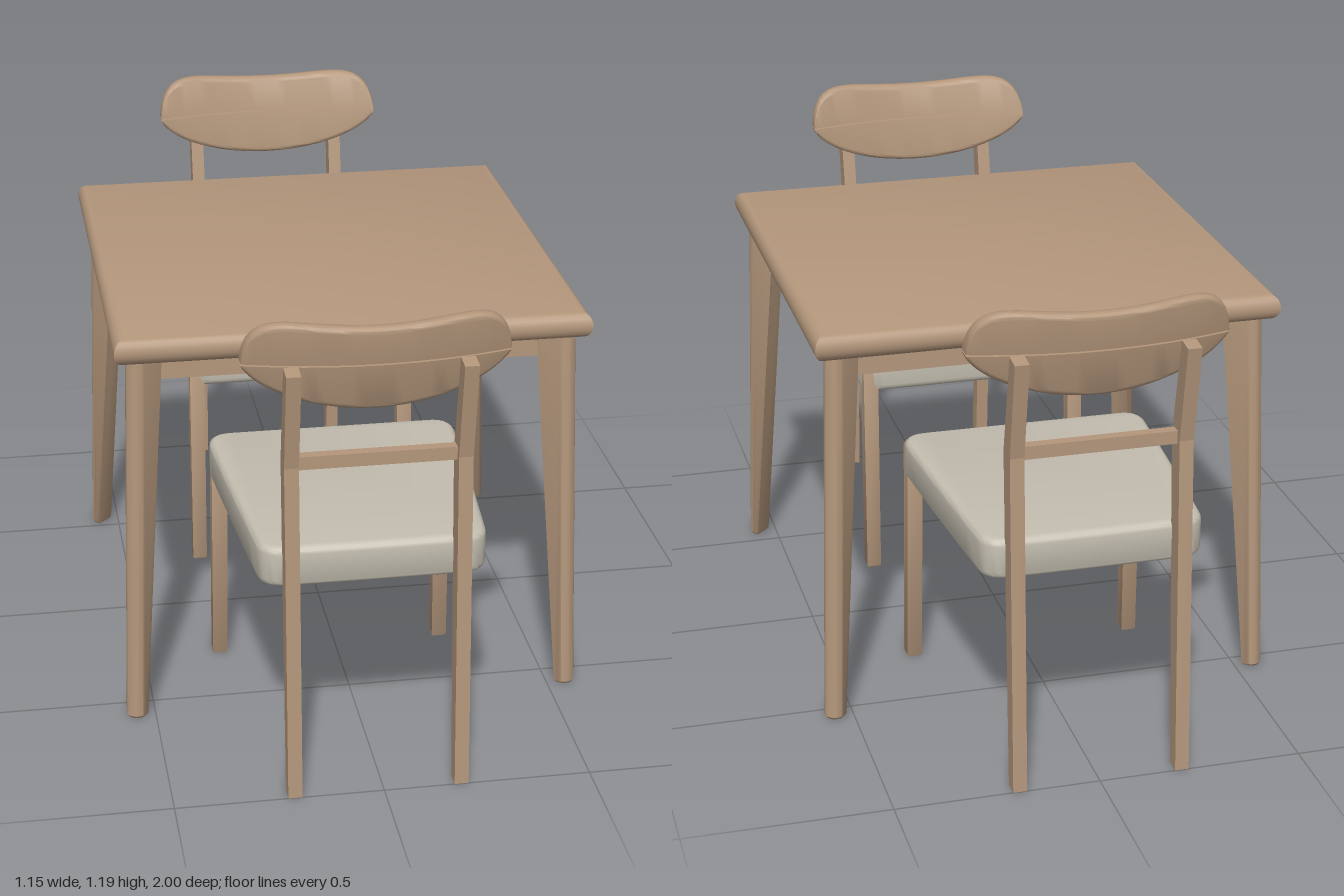
import * as THREE from 'three';
import { toCreasedNormals } from 'three/addons/utils/BufferGeometryUtils.js';

const wood = new THREE.MeshStandardMaterial({ color: 0xb4977c });
wood.name = 'wood';
const fabric = new THREE.MeshStandardMaterial({ color: 0xc4beb0 });
fabric.name = 'fabric';

function add(parent, name, geometry, material = wood) {
  const mesh = new THREE.Mesh(geometry, material);
  mesh.name = name;
  parent.add(mesh);
  return mesh;
}

// Skin through equal rings of [x, y, z] points, closed at both ends
function loft(rings) {
  const n = rings[0].length;
  const pos = rings.flat(2);
  const index = [];
  for (let r = 0; r < rings.length - 1; r++) {
    for (let i = 0; i < n; i++) {
      const a = r * n + i, a1 = r * n + (i + 1) % n;
      index.push(a, a1, a1 + n, a, a1 + n, a + n);
    }
  }
  const last = (rings.length - 1) * n;
  for (let i = 1; i < n - 1; i++) {
    index.push(0, i + 1, i, last, last + i, last + i + 1);
  }
  const geo = new THREE.BufferGeometry();
  geo.setAttribute('position', new THREE.Float32BufferAttribute(pos, 3));
  geo.setIndex(index);
  return toCreasedNormals(geo, 0.6);
}

function makeTable() {
  const table = new THREE.Group();
  table.name = 'table';

  // Square top with a bullnose edge
  const profile = [new THREE.Vector2(0, 0.95)];
  for (let i = 0; i <= 10; i++) {
    const a = -Math.PI / 2 + Math.PI * i / 10;
    profile.push(new THREE.Vector2(0.55 + 0.025 * Math.cos(a), 0.9825 + 0.0325 * Math.sin(a)));
  }
  profile.push(new THREE.Vector2(0, 1.015));
  const top = new THREE.LatheGeometry(profile, 4);
  top.rotateY(Math.PI / 4).scale(Math.SQRT2, 1, Math.SQRT2);
  add(table, 'tableTop', toCreasedNormals(top, 0.6));

  // Legs set on the diagonals: round outside, flat inside, tapering down
  const ring = (centre, inner, r, y) => {
    const pts = [];
    for (let i = 0; i <= 10; i++) {
      const a = -Math.PI / 2 + Math.PI * i / 10;
      pts.push([centre + r * Math.cos(a), y, -r * Math.sin(a)]);
    }
    pts.push([inner, y, -r], [inner, y, r]);
    return pts;
  };
  const legGeo = loft([
    ring(0.772, 0.764, 0.022, 0),
    ring(0.772, 0.760, 0.026, 0.006),
    ring(0.734, 0.669, 0.026, 0.955),
  ]);
  for (let k = 0; k < 4; k++) {
    add(table, 'tableLeg', legGeo).rotation.y = Math.PI / 4 + k * Math.PI / 2;
    // Apron between neighbouring legs
    const apron = new THREE.BoxGeometry(0.96, 0.075, 0.035);
    apron.translate(0, 0.917, 0.47);
    add(table, 'apron', apron).rotation.y = k * Math.PI / 2;
  }
  return table;
}

// One half of the curved backrest, above (s = 1) or below (s = -1) the seam
function backrestHalf(s) {
  const W = 0.307, t = 0.02, seam = 1.083 + s * 0.002;
  const rings = [];
  for (let k = 0; k <= 32; k++) {
    const u = Math.sin((k / 32 - 0.5) * Math.PI), x = W * u;
    const h = 0.0005 + (s > 0
      ? (0.09 + 0.4 * x * x) * Math.sqrt(Math.max(0, 1 - u ** 6))
      : 0.116 * Math.max(0, 1 - u * u) ** 0.65);
    const r = Math.min(0.014, h * 0.8);
    const section = [[-t, 0]];
    for (let i = 0; i <= 8; i++) {
      const a = Math.PI * (1 - i / 8);
      const side = i < 4 ? -1 : i > 4 ? 1 : 0;
      section.push([side * (t - r) + r * Math.cos(a), h - r + r * Math.sin(a)]);
    }
    section.push([t, 0]);
    if (s < 0) section.reverse();
    rings.push(section.map(([dz, dy]) => {
      const y = seam + s * dy;
      return [x, y, -0.945 + 0.2 * (1.08 - y) + 0.045 * u * u + dz];
    }));
  }
  return loft(rings);
}

function makeSeat() {
  // Tapered plan with rounded corners
  const f = 0.312, b = 0.267, z0 = -0.925, z1 = -0.26, c = 0.06;
  const shape = new THREE.Shape();
  shape.moveTo(-b + c, z0);
  shape.quadraticCurveTo(0, z0 - 0.004, b - c, z0);
  shape.quadraticCurveTo(b, z0, b + 0.004, z0 + c);
  shape.quadraticCurveTo(0.296, -0.58, f, z1 - c);
  shape.quadraticCurveTo(f, z1, f - c, z1);
  shape.lineTo(-f + c, z1);
  shape.quadraticCurveTo(-f, z1, -f, z1 - c);
  shape.quadraticCurveTo(-0.296, -0.58, -b - 0.004, z0 + c);
  shape.quadraticCurveTo(-b, z0, -b + c, z0);
  const e = 0.018;
  const geo = new THREE.ExtrudeGeometry(shape, {
    depth: 0.102 - 2 * e, bevelSize: e, bevelThickness: e, bevelOffset: -e,
    bevelSegments: 4, curveSegments: 8,
  });
  geo.rotateX(Math.PI / 2).translate(0, 0.622 - e, 0);
  return toCreasedNormals(geo, 0.6);
}

function makeChair() {
  const chair = new THREE.Group();
  chair.name = 'chair';
  add(chair, 'seat', makeSeat(), fabric);
  add(chair, 'upperBackrest', backrestHalf(1));
  add(chair, 'lowerBackrest', backrestHalf(-1));

  // Rear legs bend backward above the seat to carry the backrest
  const side = [[-1, 0], [-0.96, 0], [-0.922, 0.55], [-0.905, 0.84], [-0.955, 1.085], [-1, 1.08], [-0.96, 0.84]];
  const rearGeo = new THREE.ExtrudeGeometry(
    new THREE.Shape(side.map(([z, y]) => new THREE.Vector2(z, y))),
    { depth: 0.034, bevelEnabled: false });
  rearGeo.rotateY(-Math.PI / 2).translate(0.017, 0, 0);

  // Front legs lean slightly and stand in the seat corners
  const box = (x, z, w, y) => [[x - w, y, z + w], [x + w, y, z + w], [x + w, y, z - w], [x - w, y, z - w]];
  for (const s of [-1, 1]) {
    add(chair, 'rearLeg', rearGeo).position.x = s * 0.2;
    add(chair, 'frontLeg', loft([
      box(s * 0.29, -0.268, 0.016, 0),
      box(s * 0.29, -0.268, 0.019, 0.006),
      box(s * 0.286, -0.285, 0.02, 0.595),
      box(s * 0.286, -0.285, 0.015, 0.607),
    ]));
  }

  const rail = new THREE.BoxGeometry(0.38, 0.032, 0.026);
  rail.translate(0, 0.844, -0.932);
  add(chair, 'backRail', rail);
  return chair;
}

export function createModel() {
  const model = new THREE.Group();
  model.name = 'diningSet';

  const table = makeTable();
  table.position.z = 0.012;
  model.add(table);

  // Two chairs facing each other across the table
  const farChair = makeChair();
  farChair.position.x = -0.004;
  const nearChair = makeChair();
  nearChair.rotation.y = Math.PI;
  nearChair.position.x = -0.013;
  model.add(farChair, nearChair);
  return model;
}
